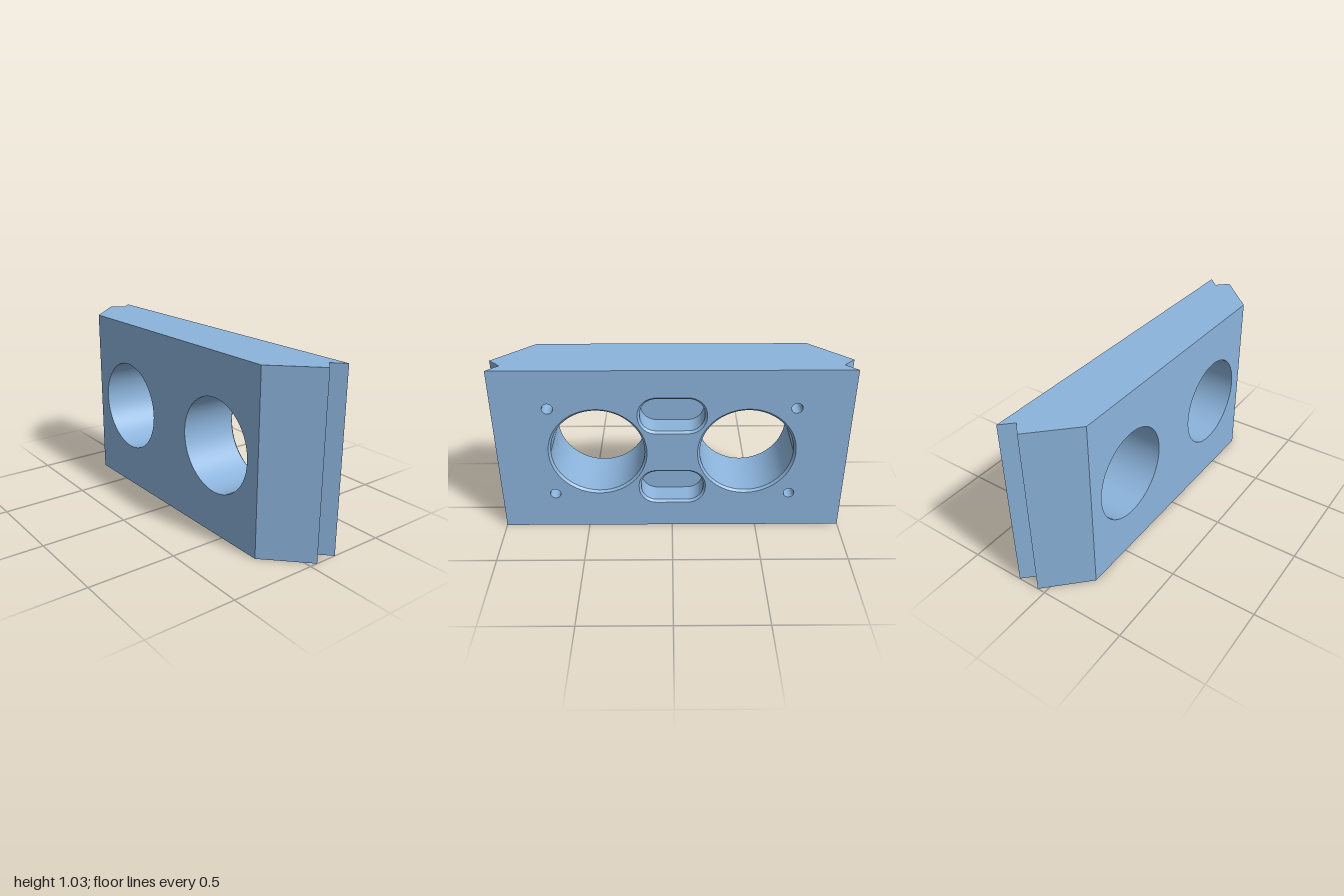
import * as THREE from 'three';
import { toCreasedNormals } from 'three/addons/utils/BufferGeometryUtils.js';

const H = 1.034, MID = H / 2;        // block height and its middle
const FRONT = 0.177, BACK = -0.177;  // front and back planes
const CHAMFER = 0.013;

// Counter-clockwise outline of a rounded rectangle (a circle when w = h = r), half sizes w and h
function outline(cx, cy, w, h, r, n = 20) {
  const pts = [];
  [[1, 1], [-1, 1], [-1, -1], [1, -1]].forEach(([sx, sy], q) => {
    for (let k = 0; k <= n; k++) {
      const a = (q + k / n) * Math.PI / 2;
      pts.push(new THREE.Vector2(cx + sx * (w - r) + r * Math.cos(a), cy + sy * (h - r) + r * Math.sin(a)));
    }
  });
  return pts.filter((p, i) => p.distanceTo(pts.at(i - 1)) > 1e-6);
}

// Surface joining successive rows of points
function loft(rows, closed) {
  const pos = [];
  for (let r = 0; r + 1 < rows.length; r++) {
    const A = rows[r], B = rows[r + 1], n = A.length;
    for (let i = 0; i < (closed ? n : n - 1); i++) {
      const j = (i + 1) % n;
      for (const p of [A[i], B[i], A[j], B[i], B[j], A[j]]) pos.push(p.x, p.y, p.z);
    }
  }
  const g = new THREE.BufferGeometry();
  g.setAttribute('position', new THREE.Float32BufferAttribute(pos, 3));
  return toCreasedNormals(g, 0.5);
}

const atZ = (pts, z) => pts.map(p => new THREE.Vector3(p.x, p.y, z));

export function createModel() {
  const group = new THREE.Group();
  const material = new THREE.MeshStandardMaterial({ color: 0x8cb4dc });
  const add = (name, geometry) => {
    const mesh = new THREE.Mesh(geometry, material);
    mesh.name = name;
    group.add(mesh);
    return mesh;
  };

  // Cross-section: chamfered front, V-notched ends
  const right = [[0.775, FRONT], [1, -0.047], [0.935, -0.112], [1, BACK]];
  const left = right.map(([x, z]) => [-x, z]).reverse();
  const section = [...right, ...left];
  const cap = s => new THREE.ShapeGeometry(new THREE.Shape(section.map(([x, z]) => new THREE.Vector2(x, s * z))));
  add('topFace', cap(-1).rotateX(-Math.PI / 2).translate(0, H, 0));
  add('bottomFace', cap(1).rotateX(Math.PI / 2));
  for (const [name, chain] of [['leftEnd', right], ['rightEnd', left]]) {
    const row = y => chain.map(([x, z]) => new THREE.Vector3(x, y, z));
    add(name, loft([row(H), row(0)], false));
  }

  const frontHoles = [], backHoles = [];

  // Two large through bores, chamfered at the back
  for (const s of [-1, 1]) {
    const ring = r => outline(s * 0.425, MID, r, r, r);
    const inner = ring(0.268), outer = ring(0.268 + CHAMFER);
    add('bore', loft([atZ(outer, BACK), atZ(inner, BACK + CHAMFER), atZ(inner, FRONT)], true));
    frontHoles.push(inner);
    backHoles.push(outer);
  }

  // Blind recess in the back face
  const pocket = (name, cx, cy, w, h, r, depth, c) => {
    const outer = outline(cx, cy, w, h, r);
    const inner = outline(cx, cy, w - c, h - c, r - c);
    const rows = [atZ(outer, BACK)];
    if (c > 0) rows.push(atZ(inner, BACK + c));
    rows.push(atZ(inner, BACK + depth));
    add(name, loft(rows, true));
    const floor = new THREE.ShapeGeometry(new THREE.Shape(outline(0, 0, w - c, h - c, r - c)));
    add(name + 'Floor', floor.rotateY(Math.PI).translate(cx, cy, BACK + depth));
    backHoles.push(outer);
  };

  // Two slots between the bores and four corner screw holes
  for (const t of [-1, 1]) {
    pocket('slot', 0, MID + t * 0.2375, 0.194, 0.114, 0.105, 0.14, CHAMFER);
    for (const s of [-1, 1]) pocket('screwHole', s * 0.688, MID + t * 0.285, 0.031, 0.031, 0.031, 0.12, 0);
  }

  // Pierced front and back faces
  const face = (w, holes) => {
    const shape = new THREE.Shape([[-w, 0], [w, 0], [w, H], [-w, H]].map(p => new THREE.Vector2(...p)));
    shape.holes = holes.map(h => new THREE.Path(h));
    return new THREE.ShapeGeometry(shape);
  };
  add('frontFace', face(0.775, frontHoles).translate(0, 0, FRONT));
  add('backFace', face(1, backHoles).rotateY(Math.PI).translate(0, 0, BACK));

  return group;
}
